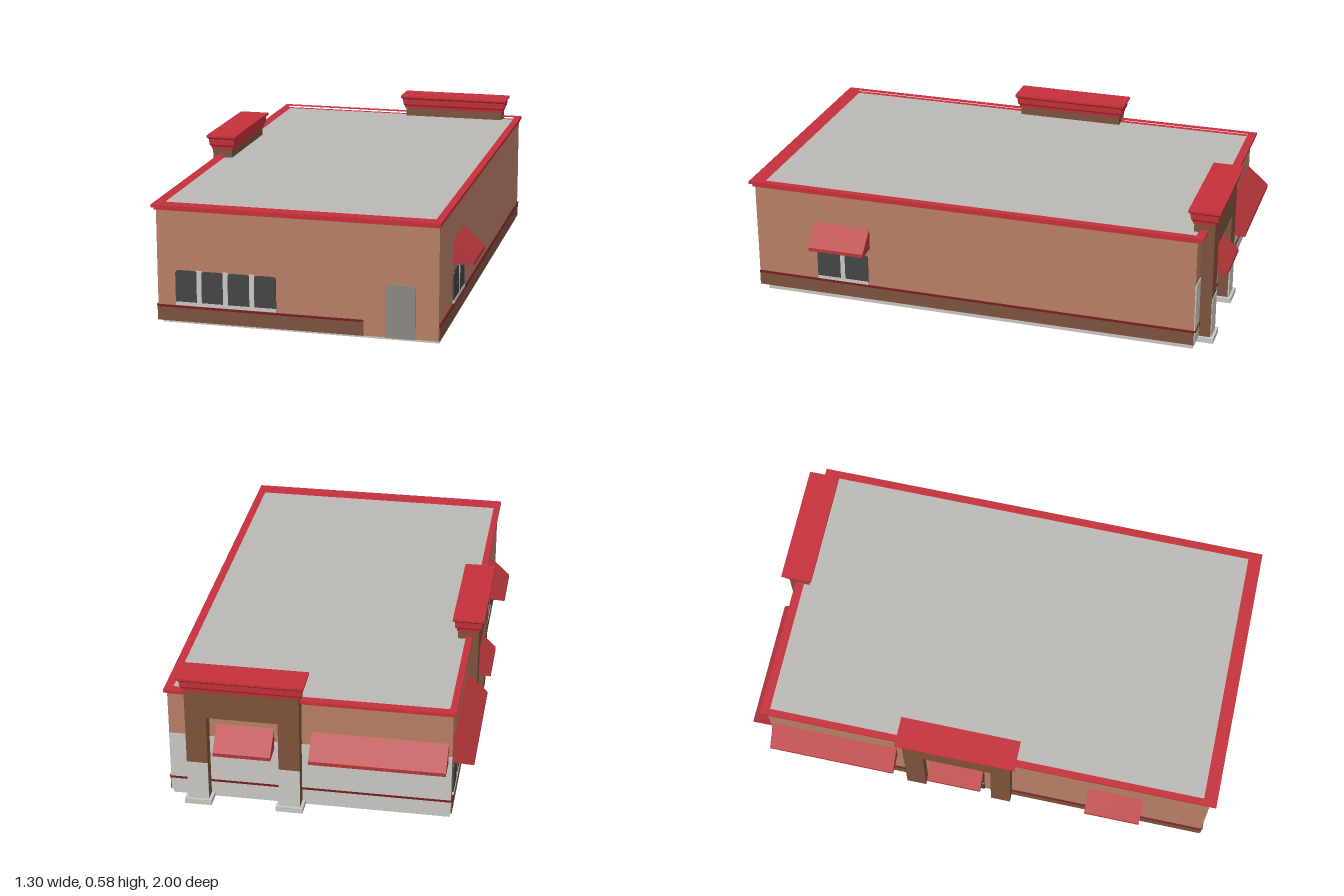
import * as THREE from 'three';

const mat = (name, color) => Object.assign(new THREE.MeshStandardMaterial({ color }), { name });
const M = {
  wall: mat('terracotta wall', 0xb57d65),
  brown: mat('brown masonry', 0x7b513b),
  red: mat('red cornice', 0xc4303a),
  awning: mat('awning red', 0xb4363a),
  trim: mat('dark red trim', 0x741c22),
  light: mat('pale stone', 0xc6c5be),
  roof: mat('grey roof', 0xbab8b4),
  glass: mat('dark glass', 0x424444),
  door: mat('grey door', 0x8a8580),
};

// Wall extents
const X = 0.565, ZF = 0.975, ZB = -0.91, ZM = (ZF + ZB) / 2, LEN = ZF - ZB;

function add(parent, name, geo, material) {
  const m = new THREE.Mesh(geo, material);
  m.name = name;
  parent.add(m);
  return m;
}

// Box given by its limits
function box(parent, name, material, x0, x1, y0, y1, z0, z1) {
  const g = new THREE.BoxGeometry(x1 - x0, y1 - y0, z1 - z0);
  g.translate((x0 + x1) / 2, (y0 + y1) / 2, (z0 + z1) / 2);
  return add(parent, name, g, material);
}

const extrude = (shape, depth) => new THREE.ExtrudeGeometry(shape, { depth, bevelEnabled: false, curveSegments: 6 });

// Thin panel with rounded upper corners
function archPanel(parent, name, material, x0, x1, y0, y1, r, depth = 0.006) {
  const s = new THREE.Shape();
  s.moveTo(x0, y0);
  s.lineTo(x1, y0);
  s.lineTo(x1, y1 - r);
  s.quadraticCurveTo(x1, y1, x1 - r, y1);
  s.lineTo(x0 + r, y1);
  s.quadraticCurveTo(x0, y1, x0, y1 - r);
  return add(parent, name, extrude(s, depth), material);
}

// Rectangular ring, used for the roof edge
function ring(parent, name, material, o, i, y0, y1) {
  const rect = (P, [x0, x1, z0, z1]) => {
    const p = new P();
    p.moveTo(x0, -z0); p.lineTo(x1, -z0); p.lineTo(x1, -z1); p.lineTo(x0, -z1); p.closePath();
    return p;
  };
  const s = rect(THREE.Shape, o);
  s.holes.push(rect(THREE.Path, i));
  const g = extrude(s, y1 - y0);
  g.rotateX(-Math.PI / 2);
  g.translate(0, y0, 0);
  return add(parent, name, g, material);
}

// Facade group: local x runs along the wall, local z points outward
function facade(root, name, angle, x, z) {
  const g = new THREE.Group();
  g.name = name;
  g.rotation.y = angle;
  g.position.set(x, 0, z);
  root.add(g);
  return g;
}

// Row of panes with pale mullions and sill
function windowRow(f, x0, x1, count, top = 0.23) {
  const g = new THREE.Group(), gap = 0.02, w = (x1 - x0 - gap * (count - 1)) / count;
  g.name = 'window';
  f.add(g);
  for (let i = 0; i < count; i++) {
    const a = x0 + i * (w + gap);
    archPanel(g, 'windowPane', M.glass, a, a + w, 0.1, top, 0.014);
    if (i) box(g, 'mullion', M.light, a - gap, a, 0.1, top + 0.003, 0, 0.007);
  }
  box(g, 'windowSill', M.light, x0, x1, 0.088, 0.102, 0, 0.008);
}

// Sloped awning with a short vertical lip and slatted underside
function awning(f, x0, x1, reach = 0.085) {
  const s = new THREE.Shape();
  s.moveTo(0, 0.255);
  s.lineTo(-reach, 0.25);
  s.lineTo(-reach, 0.265);
  s.lineTo(0, 0.345);
  const g = extrude(s, x1 - x0);
  g.rotateY(Math.PI / 2);
  g.translate(x0, 0, 0);
  add(f, 'awning', g, M.awning);
  box(f, 'awningUnderside', M.glass, x0 + 0.006, x1 - 0.006, 0.249, 0.254, 0, reach - 0.006);
  const n = Math.round((x1 - x0) / 0.06);
  for (let i = 1; i < n; i++) {
    const c = x0 + (x1 - x0) * i / n;
    box(f, 'awningRib', M.door, c - 0.003, c + 0.003, 0.247, 0.25, 0, reach - 0.006);
  }
}

// Stacked moulding on top of an entrance tower
function towerCap(f, x0, x1, z0, z1) {
  const levels = [[0.52, 0.004], [0.532, 0.006], [0.54, 0.012], [0.565, 0.014], [0.573, 0.022], [0.582, 0.022]];
  const pos = [], corner = (o, y) => [[x0 - o, y, z1 + o], [x1 + o, y, z1 + o], [x1 + o, y, z0 - o], [x0 - o, y, z0 - o]];
  const quad = (a, b, c, d) => pos.push(...a, ...b, ...c, ...a, ...c, ...d);
  for (let i = 0; i < levels.length - 1; i++) {
    const lo = corner(levels[i][1], levels[i][0]), hi = corner(levels[i + 1][1], levels[i + 1][0]);
    for (let k = 0; k < 4; k++) quad(lo[k], lo[(k + 1) % 4], hi[(k + 1) % 4], hi[k]);
  }
  quad(...corner(0.022, 0.582));
  quad(...corner(0.004, 0.52).reverse());
  const g = new THREE.BufferGeometry();
  g.setAttribute('position', new THREE.Float32BufferAttribute(pos, 3));
  g.computeVertexNormals();
  add(f, 'towerCap', g, M.red);
}

// Portal tower: two posts joined by a tall lintel
function tower(f, x0, x1, front) {
  const s = new THREE.Shape(), post = 0.085, pts = [[x0, 0.015], [x0 + post, 0.015], [x0 + post, 0.4],
    [x1 - post, 0.4], [x1 - post, 0.015], [x1, 0.015], [x1, 0.53], [x0, 0.53]];
  s.setFromPoints(pts.map(p => new THREE.Vector2(...p)));
  const g = extrude(s, 0.085);
  g.translate(0, 0, front - 0.085);
  add(f, 'entranceTower', g, M.brown);
  towerCap(f, x0, x1, front - 0.085, front);
}

// Masonry band with a dark red top line
function baseBand(f, x0, x1) {
  box(f, 'baseBand', M.brown, x0, x1, 0.02, 0.076, -0.01, 0.004);
  box(f, 'bandTrim', M.trim, x0, x1, 0.076, 0.084, -0.01, 0.006);
}

export function createModel() {
  const root = new THREE.Group();
  root.name = 'building';

  // Main shell and roof
  box(root, 'plinth', M.light, -X + 0.005, X - 0.005, 0, 0.02, ZB + 0.005, 0.94);
  box(root, 'walls', M.wall, -X, X, 0.02, 0.474, ZB, ZF);
  box(root, 'roof', M.roof, -0.555, 0.555, 0.474, 0.484, -0.905, 0.955);
  ring(root, 'lowerCornice', M.red, [-0.571, 0.568, -0.92, 0.986], [-0.55, 0.545, -0.9, 0.945], 0.473, 0.485);
  ring(root, 'upperCornice', M.red, [-0.578, 0.574, -0.935, 1.0], [-0.55, 0.545, -0.9, 0.945], 0.485, 0.496);

  // Front: window row and service door
  const front = facade(root, 'frontFacade', 0, 0, ZF);
  baseBand(front, -X, 0.27);
  windowRow(front, -0.49, -0.08, 4);
  archPanel(front, 'serviceDoor', M.door, 0.355, 0.475, 0.02, 0.235, 0.025);

  // Plain long side, local x = -z
  const right = facade(root, 'plainSide', Math.PI / 2, X, 0);
  baseBand(right, -ZF, -ZB);
  windowRow(right, -0.705, -0.48, 2, 0.22);
  awning(right, -0.71, -0.47);

  // Entrance long side, local x = z
  const left = facade(root, 'entranceSide', -Math.PI / 2, -X, 0);
  baseBand(left, ZB, -0.24);
  baseBand(left, 0.06, ZF);
  windowRow(left, 0.48, 0.705, 2, 0.22);
  awning(left, 0.47, 0.705);
  windowRow(left, -0.88, -0.38, 4);
  awning(left, -0.9, -0.36);
  tower(left, -0.32, 0.14, 0.037);
  awning(left, -0.21, 0.02);
  for (const x of [-0.2, -0.085]) {
    box(left, 'doorLeaf', M.glass, x, x + 0.105, 0.02, 0.24, 0, 0.005);
    box(left, 'doorRail', M.door, x, x + 0.105, 0.1, 0.108, 0, 0.008);
  }
  box(left, 'doorMullion', M.door, -0.095, -0.085, 0.02, 0.24, 0, 0.007);

  // Back, local x = -x
  const back = facade(root, 'backFacade', Math.PI, 0, ZB);
  box(back, 'paleWainscot', M.light, -X, X, 0.02, 0.285, -0.001, 0.004);
  box(back, 'bandTrim', M.trim, -X, X, 0.076, 0.084, 0, 0.007);
  awning(back, 0.01, 0.55, 0.09);
  tower(back, -0.485, -0.03, 0.052);
  awning(back, -0.37, -0.14, 0.09);
  for (const x of [-0.485, -0.115]) {
    box(back, 'postFacing', M.light, x, x + 0.085, 0.02, 0.19, 0.05, 0.055);
    box(back, 'postBase', M.light, x - 0.012, x + 0.097, 0, 0.022, -0.01, 0.066);
  }
  return root;
}
